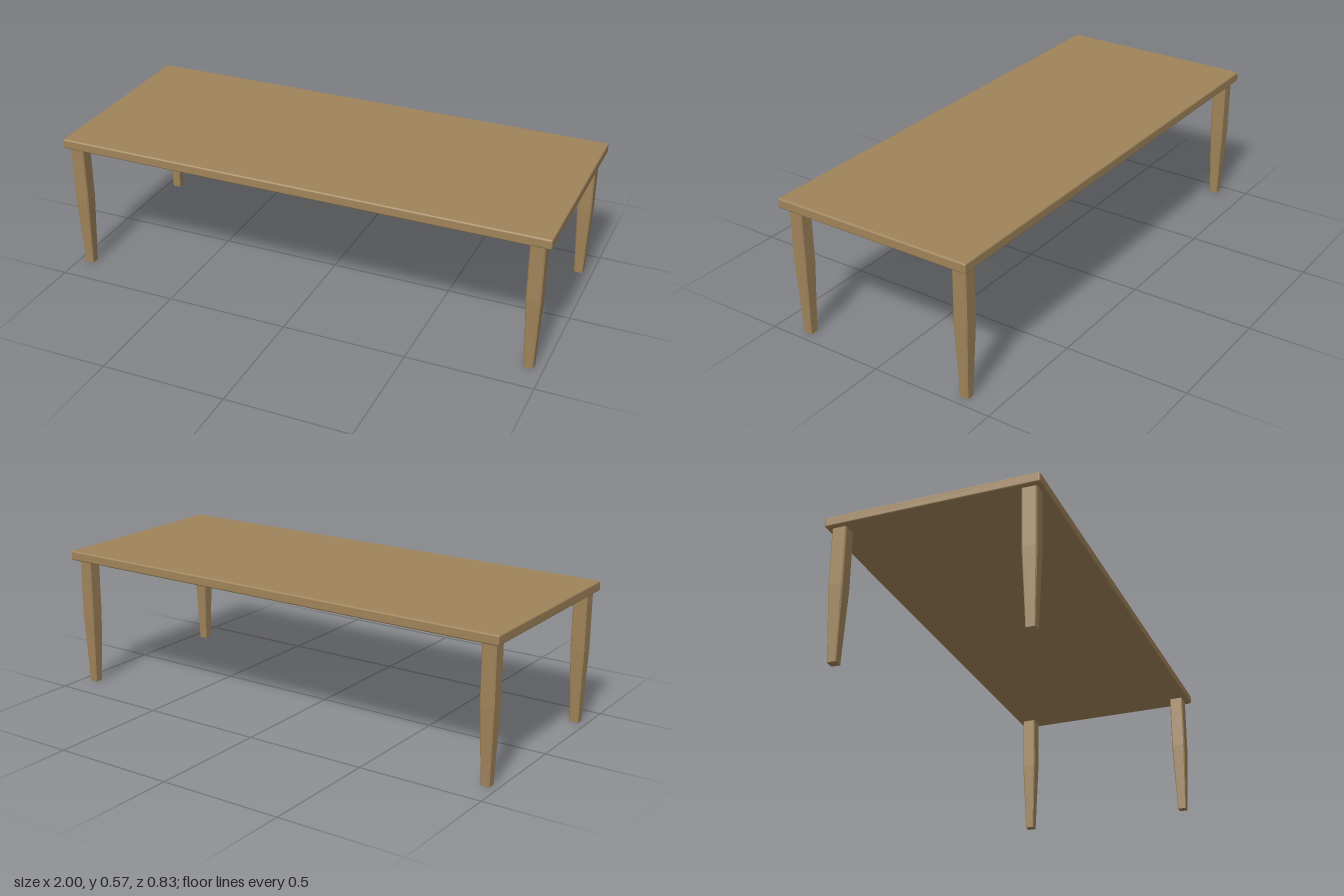
import * as THREE from 'three';
import { RoundedBoxGeometry } from 'three/addons/geometries/RoundedBoxGeometry.js';

const TOP_Y = 0.575, UNDER_Y = 0.535, TAPER_Y = 0.3;

// Square leg with chamfered corners: straight above TAPER_Y, tapering to the foot
function legGeometry() {
  const h = 0.029, c = 0.005;
  const section = new THREE.Shape([
    [h - c, -h], [h, -h + c], [h, h - c], [h - c, h],
    [-h + c, h], [-h, h - c], [-h, -h + c], [-h + c, -h],
  ].map(([x, y]) => new THREE.Vector2(x, y)));
  const geometry = new THREE.ExtrudeGeometry(section, { depth: 1, steps: 2, bevelEnabled: false });
  geometry.rotateX(-Math.PI / 2);
  const p = geometry.attributes.position;
  for (let i = 0; i < p.count; i++) {
    const t = p.getY(i);
    const s = t < 0.25 ? 0.62 : 1;
    const y = t < 0.25 ? 0 : t < 0.75 ? TAPER_Y : UNDER_Y + 0.002;
    p.setXYZ(i, p.getX(i) * s, y, p.getZ(i) * s);
  }
  geometry.computeVertexNormals();
  return geometry;
}

export function createModel() {
  const table = new THREE.Group();
  table.name = 'table';
  const wood = new THREE.MeshStandardMaterial({ color: 0xa0845a });
  wood.name = 'wood';

  // Tabletop with softened edges
  const top = new THREE.Mesh(new RoundedBoxGeometry(2, TOP_Y - UNDER_Y, 0.834, 3, 0.007), wood);
  top.name = 'tabletop';
  top.position.y = (TOP_Y + UNDER_Y) / 2;
  table.add(top);

  // Four legs, set very slightly unevenly
  const leg = legGeometry();
  const places = [
    ['frontLeftLeg', 0.944, 0.365],
    ['frontRightLeg', -0.952, 0.369],
    ['backLeftLeg', 0.944, -0.367],
    ['backRightLeg', -0.952, -0.367],
  ];
  for (const [name, x, z] of places) {
    const mesh = new THREE.Mesh(leg, wood);
    mesh.name = name;
    mesh.position.set(x, 0, z);
    table.add(mesh);
  }
  return table;
}
